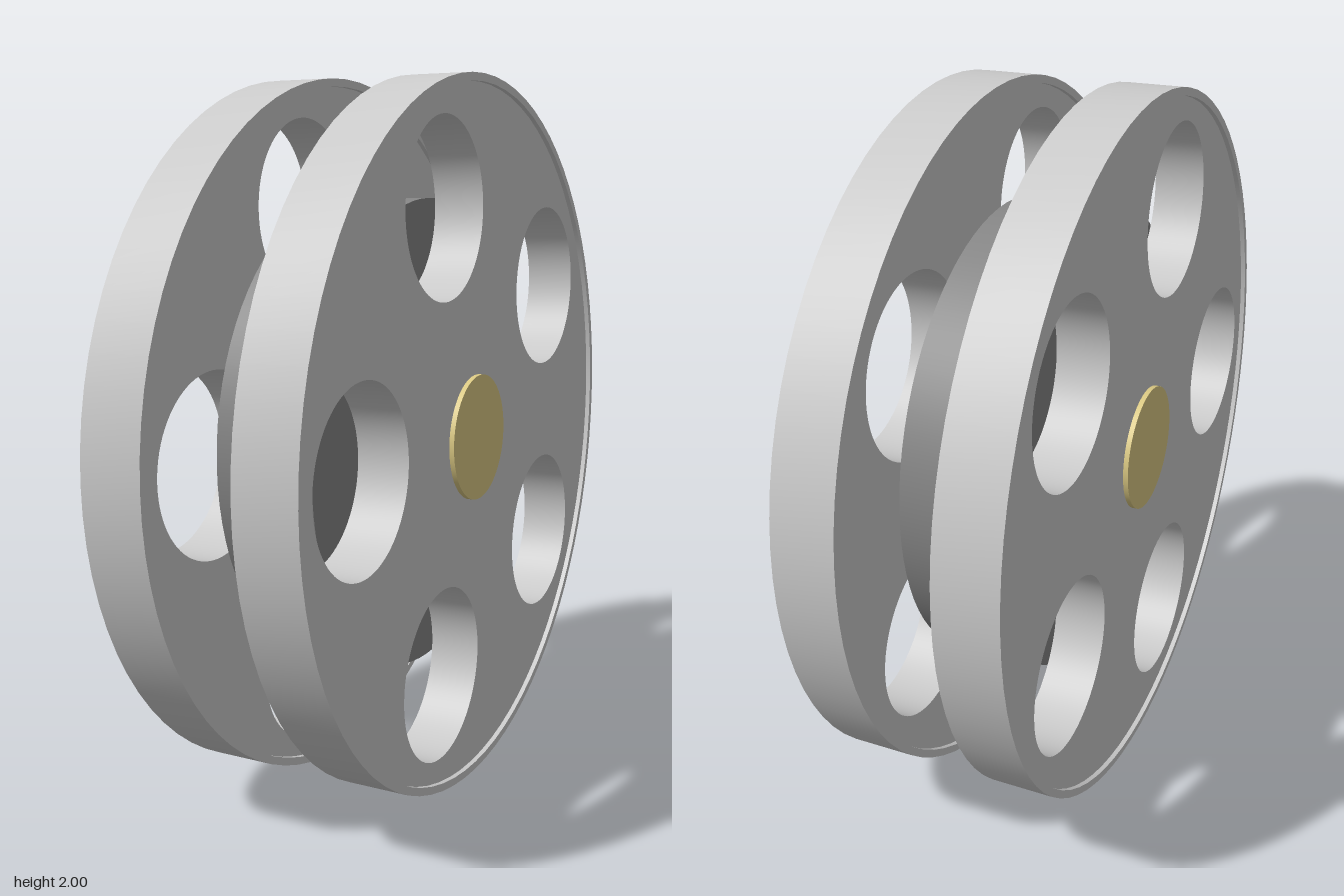
import * as THREE from 'three';
import { toCreasedNormals } from 'three/addons/utils/BufferGeometryUtils.js';

const TAU = Math.PI * 2;

// Circular plate with round holes, its thickness running along x from -depth/2 to depth/2
function plate(radius, holes, depth) {
  const shape = new THREE.Shape().absarc(0, 0, radius, 0, TAU, false);
  for (const [x, y, r] of holes) shape.holes.push(new THREE.Path().absarc(x, y, r, 0, TAU, true));
  const geo = new THREE.ExtrudeGeometry(shape, { depth, bevelEnabled: false, curveSegments: 40 });
  geo.translate(0, 0, -depth / 2).rotateY(Math.PI / 2);
  return toCreasedNormals(geo, 0.6);
}

export function createModel() {
  const model = new THREE.Group();
  model.name = 'spoolWheel';
  const grey = new THREE.MeshStandardMaterial({ color: 0xcccccc });
  const dark = new THREE.MeshStandardMaterial({ color: 0x868686 });
  const brass = new THREE.MeshStandardMaterial({ color: 0xdcca84 });

  const add = (parent, name, geo, mat, x = 0) => {
    const mesh = new THREE.Mesh(geo, mat);
    mesh.name = name;
    mesh.position.x = x;
    parent.add(mesh);
  };

  // Five lightening holes, the first one towards the front
  const holes = [];
  for (let i = 0; i < 5; i++) {
    const a = Math.PI + (i * TAU) / 5;
    holes.push([0.672 * Math.cos(a), 0.672 * Math.sin(a), 0.244]);
  }
  const discGeo = plate(0.99, holes, 0.147);
  const rimGeo = plate(1, [[0, 0, 0.978]], 0.175);

  // Two flanges: a pierced disc with a slightly raised rim
  for (const side of [1, -1]) {
    const flange = new THREE.Group();
    flange.name = side > 0 ? 'leftFlange' : 'rightFlange';
    add(flange, 'disc', discGeo, grey, side * 0.2125);
    add(flange, 'rim', rimGeo, grey, side * 0.2125);
    model.add(flange);
  }

  // Solid drum between the flanges and the axle pin through the middle
  const cylinder = (r, length) => new THREE.CylinderGeometry(r, r, length, 80).rotateZ(Math.PI / 2);
  add(model, 'drum', cylinder(0.668, 0.278), dark);
  add(model, 'axlePin', cylinder(0.178, 0.6), brass);

  model.position.y = 1;
  return model;
}
